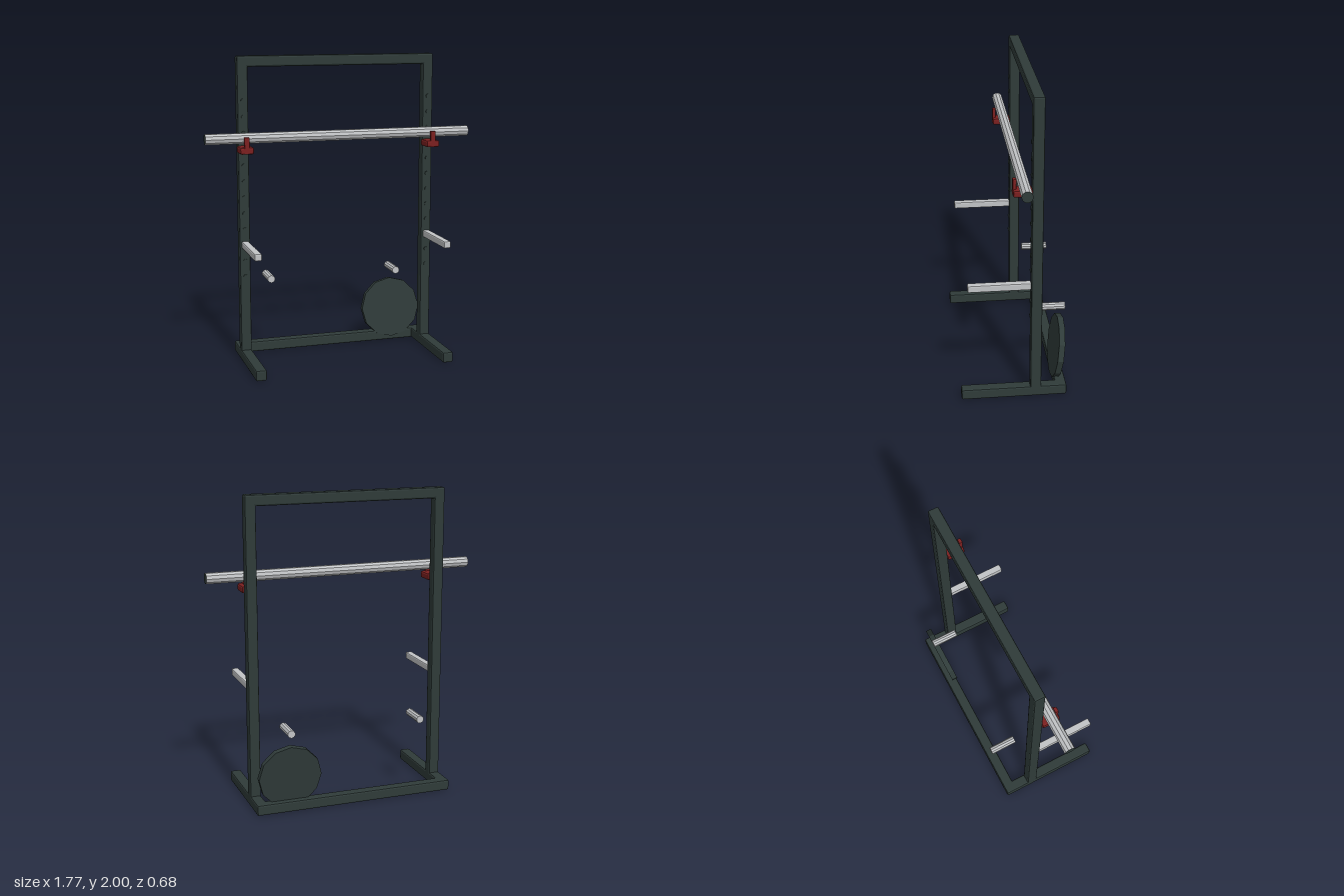
import * as THREE from 'three';
import { RoundedBoxGeometry } from 'three/addons/geometries/RoundedBoxGeometry.js';

const mat = (name, color) => {
  const m = new THREE.MeshStandardMaterial({ color });
  m.name = name;
  return m;
};

export function createModel() {
  const rack = new THREE.Group();
  rack.name = 'squatRack';
  const frameGreen = mat('darkFrame', 0x2f3b39);
  const steel = mat('steel', 0xc2c4c6);
  const red = mat('darkRed', 0x7c2020);

  const add = (name, geometry, material, x, y, z) => {
    const mesh = new THREE.Mesh(geometry, material);
    mesh.name = name;
    mesh.position.set(x, y, z);
    rack.add(mesh);
    return mesh;
  };

  // Box with a single flat chamfer on every edge
  const beam = (name, material, w, h, d, x, y, z, chamfer = 0.011) => {
    const g = new RoundedBoxGeometry(w, h, d, 1, chamfer);
    g.computeVertexNormals();
    return add(name, g, material, x, y, z);
  };

  // Faceted rod: side, top cap and bottom cap may differ in material
  const rod = (name, material, r, length, sides, x, y, z) => {
    const g = new THREE.CylinderGeometry(r, r, length, sides).toNonIndexed();
    g.computeVertexNormals();
    return add(name, g, material, x, y, z);
  };

  const T = 0.07, X = 0.626, Z = -0.135;

  // Frame crossbars
  beam('topCrossbar', frameGreen, 2 * X + T, T, T, 0, 1.965, Z);
  beam('rearBaseBeam', frameGreen, 2 * X + T, T, T, 0, 0.04, -0.298);

  for (const s of [1, -1]) {
    const side = s > 0 ? 'left' : 'right';

    // Upright, foot and the row of small studs up the front
    beam(side + 'Upright', frameGreen, T, 1.99, T, s * X, 1.005, Z);
    beam(side + 'Foot', frameGreen, T, T, 0.668, s * X, 0.04, 0.002);
    for (let i = 0; i < 12; i++) {
      rod(side + 'Stud', frameGreen, 0.014, 0.012, 8, s * X, 0.575 + i * 0.104, -0.1)
        .rotation.x = Math.PI / 2;
    }

    // Bar hook: wide chamfered shelf with a narrow lip
    beam(side + 'HookShelf', red, 0.09, 0.045, 0.118, s * X, 1.411, -0.044, 0.012);
    beam(side + 'HookLip', red, 0.034, 0.105, 0.022, s * X, 1.443, 0.004, 0.004);

    // Safety arm and rear plate peg
    beam(side + 'SafetyArm', steel, 0.046, 0.046, 0.39, s * X, 0.786, 0.094, 0.008);
    rod(side + 'PlatePeg', steel, 0.025, 0.175, 10, s * 0.437, 0.525, -0.2565)
      .rotation.x = Math.PI / 2;
  }

  // Barbell with dark ends
  rod('barbell', [steel, frameGreen, frameGreen], 0.035, 1.77, 10, 0, 1.486, -0.043)
    .rotation.z = Math.PI / 2;

  // Weight plate leaning on the rear base beam
  rod('weightPlate', frameGreen, 0.206, 0.038, 12, 0.437, 0.235, -0.294)
    .rotation.x = Math.PI / 2 - 0.115;

  return rack;
}
